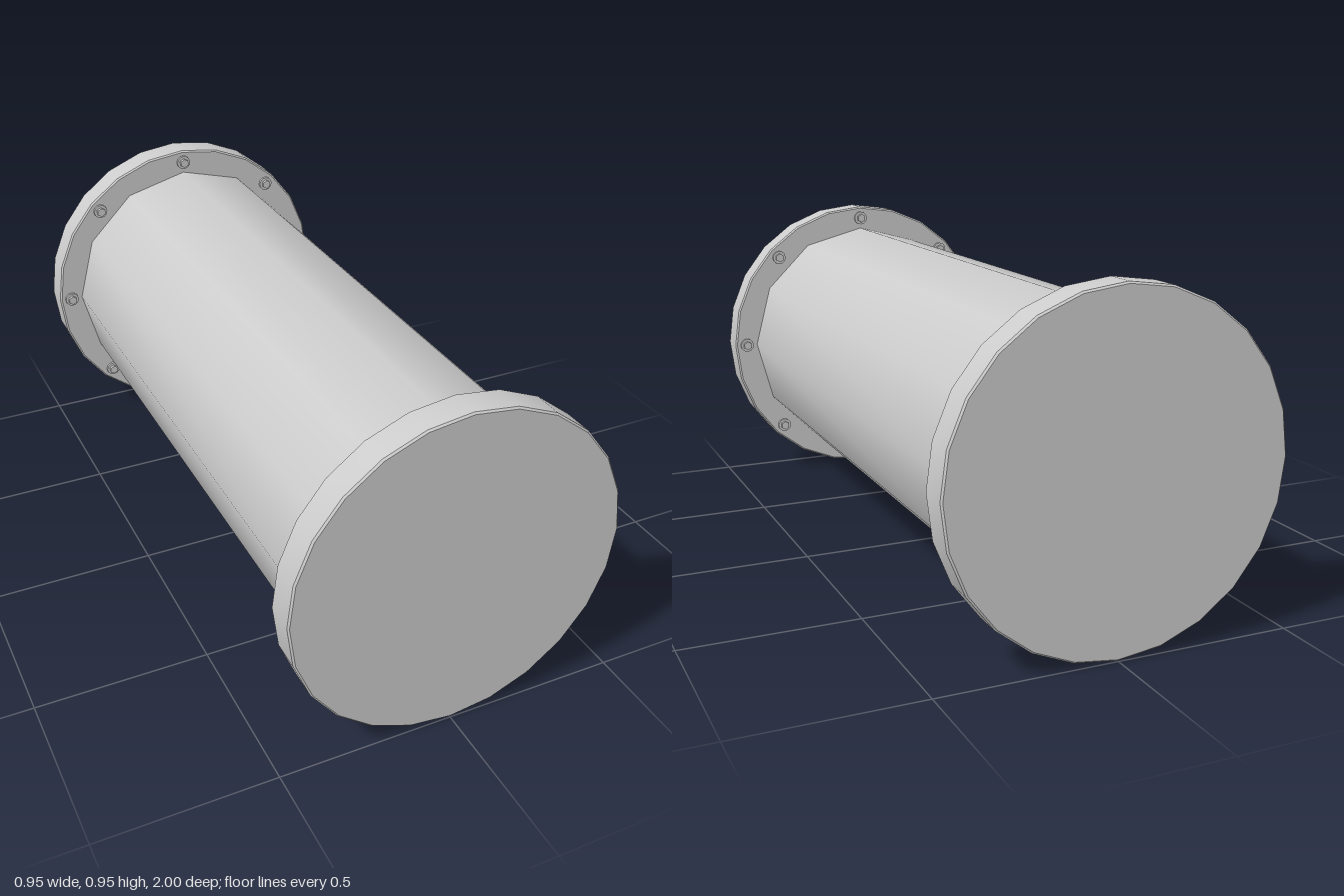
import * as THREE from 'three';
import { toCreasedNormals } from 'three/addons/utils/BufferGeometryUtils.js';

const CENTER_Y = 0.477, FLANGE_R = 0.477, TUBE_R = 0.4;
const INNER_Z = 0.905, OUTER_Z = 1, BEVEL = 0.005;
const BOLTS = 8, BOLT_RING_R = 0.437;

const material = new THREE.MeshStandardMaterial({ color: 0xcccccc });

function part(name, geometry) {
  const mesh = new THREE.Mesh(geometry, material);
  mesh.name = name;
  return mesh;
}

// Disc along z with slightly softened rims
function flangeGeometry() {
  const profile = [
    [0, INNER_Z], [FLANGE_R - BEVEL, INNER_Z], [FLANGE_R, INNER_Z + BEVEL],
    [FLANGE_R, OUTER_Z - BEVEL], [FLANGE_R - BEVEL, OUTER_Z], [0, OUTER_Z],
  ].map(([r, h]) => new THREE.Vector2(r, h));
  const geometry = new THREE.LatheGeometry(profile, 24).rotateX(Math.PI / 2);
  return toCreasedNormals(geometry, Math.PI / 6);
}

// Washer and hexagonal head on the inner face of the flange
function bolt() {
  const group = new THREE.Group();
  group.name = 'bolt';
  const washer = part('washer', new THREE.CylinderGeometry(0.023, 0.023, 0.009, 12).rotateX(Math.PI / 2));
  washer.position.z = -0.0035;
  const headShape = new THREE.CylinderGeometry(0.015, 0.015, 0.012, 6).rotateX(Math.PI / 2);
  const head = part('boltHead', toCreasedNormals(headShape, Math.PI / 6));
  head.position.z = -0.012;
  group.add(washer, head);
  return group;
}

// End cap: flange plus its ring of bolts
function endCap(name) {
  const group = new THREE.Group();
  group.name = name;
  group.add(part('flange', flangeGeometry()));
  for (let i = 0; i < BOLTS; i++) {
    const angle = (i / BOLTS) * Math.PI * 2;
    const b = bolt();
    b.position.set(Math.cos(angle) * BOLT_RING_R, Math.sin(angle) * BOLT_RING_R, INNER_Z);
    group.add(b);
  }
  return group;
}

export function createModel() {
  const model = new THREE.Group();
  model.name = 'flangedPipe';

  // Pipe body, smooth shaded, ends hidden by the flanges
  const pipe = part('pipe', new THREE.CylinderGeometry(TUBE_R, TUBE_R, INNER_Z * 2, 12, 1, true).rotateX(Math.PI / 2));

  const front = endCap('frontEndCap');
  const back = endCap('backEndCap');
  back.rotation.y = Math.PI;

  const body = new THREE.Group();
  body.name = 'body';
  body.position.y = CENTER_Y;
  body.add(pipe, front, back);
  model.add(body);
  return model;
}
